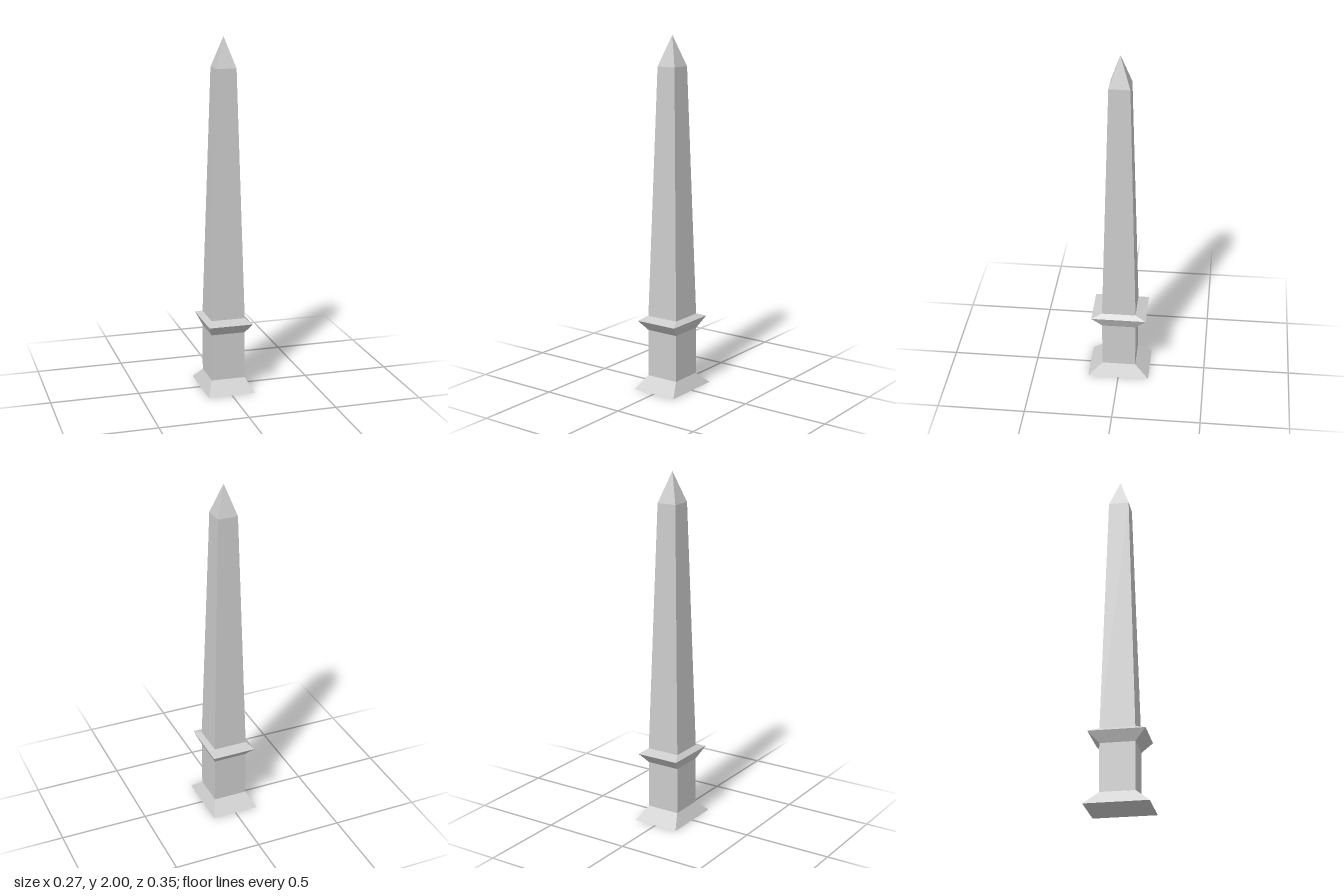
import * as THREE from 'three';

const material = new THREE.MeshStandardMaterial({ color: 0xcccccc, flatShading: true });

// Corners of a rectangular section, counter-clockwise seen from above
const corners = ([y, hx, hz]) => [[-hx, y, hz], [hx, y, hz], [hx, y, -hz], [-hx, y, -hz]];

// Four sloping sides between two sections [y, halfX, halfZ]; optionally closed underneath
function frustum(name, lower, upper, closeBase = false) {
  const a = corners(lower), b = corners(upper), points = [];
  for (let i = 0; i < 4; i++) {
    const j = (i + 1) % 4;
    points.push(a[i], a[j], b[j]);
    if (upper[1] > 0) points.push(a[i], b[j], b[i]);
  }
  if (closeBase) points.push(a[0], a[2], a[1], a[0], a[3], a[2]);
  const geometry = new THREE.BufferGeometry();
  geometry.setAttribute('position', new THREE.Float32BufferAttribute(points.flat(), 3));
  geometry.computeVertexNormals();
  const mesh = new THREE.Mesh(geometry, material);
  mesh.name = name;
  return mesh;
}

export function createModel() {
  const group = new THREE.Group();
  group.name = 'obelisk';

  // Sections shared by neighbouring parts, from the ground up
  const ground = [0, 0.137, 0.177];
  const pedestalBottom = [0.07, 0.097, 0.097];
  const pedestalTop = [0.34, 0.097, 0.097];
  const ledge = [0.403, 0.126, 0.157];
  const shaftBottom = [0.424, 0.097, 0.097];
  const shaftTop = [1.83, 0.057, 0.058];
  const tip = [2, 0, 0];

  group.add(
    frustum('flaredFoot', ground, pedestalBottom, true),
    frustum('pedestal', pedestalBottom, pedestalTop),
    frustum('corniceUnderside', pedestalTop, ledge),
    frustum('corniceTop', ledge, shaftBottom),
    frustum('shaft', shaftBottom, shaftTop),
    frustum('pyramidCap', shaftTop, tip),
  );
  return group;
}
